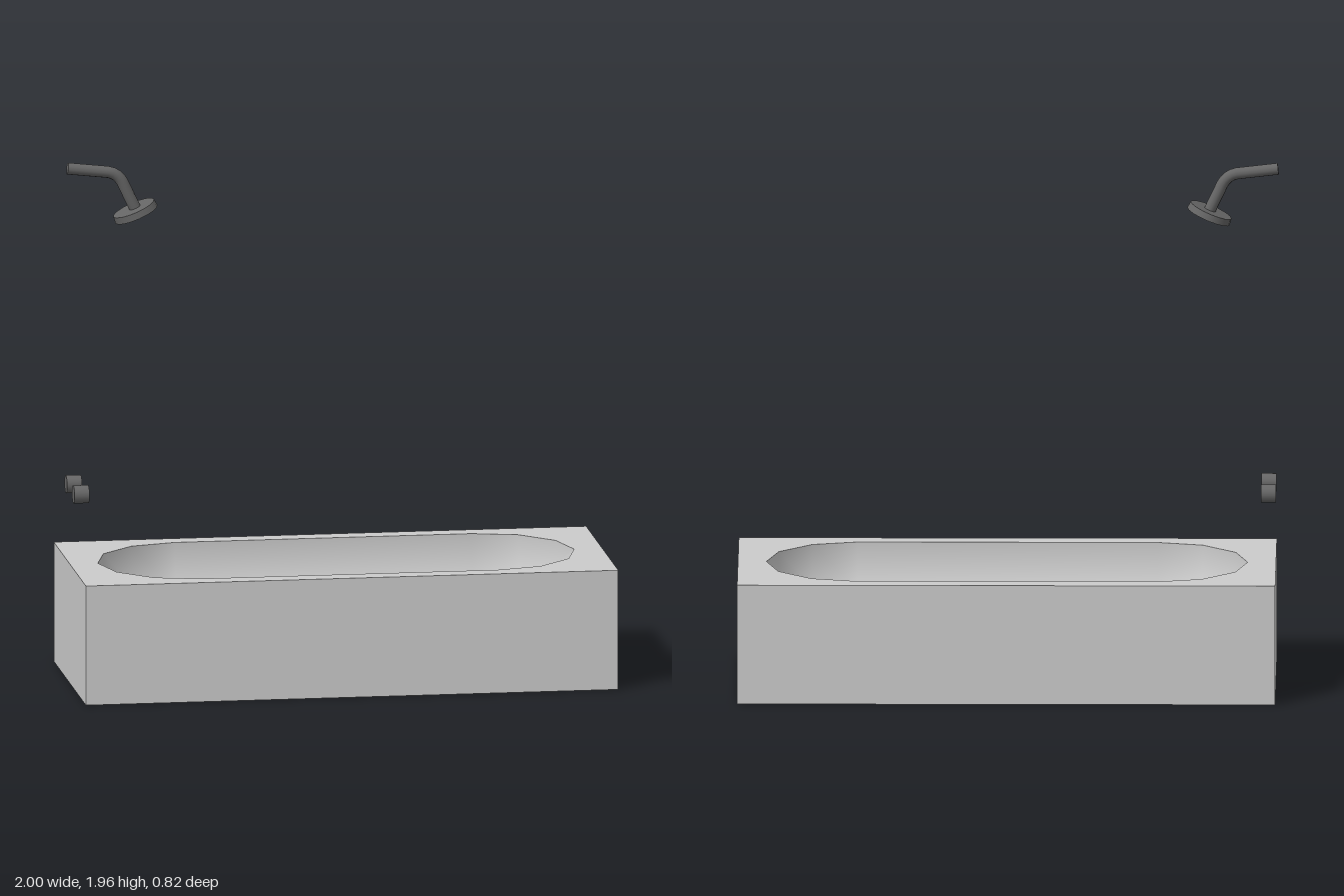
import * as THREE from 'three';

const white = new THREE.MeshStandardMaterial({ color: 0xcccccc });
const bowlMaterial = new THREE.MeshStandardMaterial({ color: 0xcccccc, side: THREE.DoubleSide });
const metal = new THREE.MeshStandardMaterial({ color: 0x666666 });

function addMesh(parent, name, geometry, material, x = 0, y = 0, z = 0) {
  const mesh = new THREE.Mesh(geometry, material);
  mesh.name = name;
  mesh.position.set(x, y, z);
  parent.add(mesh);
  return mesh;
}

function createTub() {
  const tub = new THREE.Group();
  tub.name = 'bathtub';
  const length = 1.99, height = 0.45, width = 0.816;
  const radius = 0.335, half = 0.555;

  // Half-capsule profile, running from one tip to the other
  const profile = [];
  for (const end of [-1, 1]) {
    for (let i = 0; i <= 3; i++) {
      const a = (end < 0 ? 3 - i : i) * Math.PI / 6;
      profile.push(new THREE.Vector2(radius * Math.cos(a), end * (half + radius * Math.sin(a))));
    }
  }

  // Outer walls and floor: a box without its top face
  const shell = new THREE.BoxGeometry(length, height, width);
  const index = Array.from(shell.index.array);
  index.splice(12, 6);
  shell.setIndex(index);
  shell.clearGroups();
  addMesh(tub, 'outerWalls', shell, white, 0, height / 2, 0);

  // Flat rim with the basin opening
  const rim = new THREE.Shape([
    new THREE.Vector2(-length / 2, -width / 2), new THREE.Vector2(length / 2, -width / 2),
    new THREE.Vector2(length / 2, width / 2), new THREE.Vector2(-length / 2, width / 2),
  ]);
  const sideA = profile.map((p) => new THREE.Vector2(p.y, p.x));
  const sideB = profile.slice(1, -1).reverse().map((p) => new THREE.Vector2(p.y, -p.x));
  rim.holes.push(new THREE.Path([...sideA, ...sideB]));
  addMesh(tub, 'rim', new THREE.ShapeGeometry(rim).rotateX(-Math.PI / 2), white, 0, height, 0);

  // Rounded basin hanging below the rim
  const basin = new THREE.LatheGeometry(profile, 6, 0, Math.PI).rotateZ(-Math.PI / 2);
  addMesh(tub, 'basin', basin, bowlMaterial, 0, height, 0);

  tub.position.x = 0.005;
  return tub;
}

function createShower() {
  const shower = new THREE.Group();
  shower.name = 'shower';
  const v = (x, y) => new THREE.Vector3(x, y, 0);

  // Bent pipe: straight, elbow, straight
  const start = v(-0.998, 1.942), bendIn = v(-0.85, 1.925), bendOut = v(-0.785, 1.87), end = v(-0.74, 1.775);
  const path = new THREE.CurvePath();
  path.add(new THREE.LineCurve3(start, bendIn));
  path.add(new THREE.QuadraticBezierCurve3(bendIn, v(-0.805, 1.92), bendOut));
  path.add(new THREE.LineCurve3(bendOut, end));
  addMesh(shower, 'pipe', new THREE.TubeGeometry(path, 20, 0.022, 12), metal);
  const cap = addMesh(shower, 'pipeEnd', new THREE.CircleGeometry(0.022, 12), metal, start.x, start.y, 0);
  cap.lookAt(start.clone().multiplyScalar(2).sub(bendIn));

  // Tilted disc head
  const head = addMesh(shower, 'showerHead', new THREE.CylinderGeometry(0.082, 0.085, 0.026, 16), metal, -0.745, 1.774, 0);
  head.rotation.z = THREE.MathUtils.degToRad(23);

  shower.position.z = -0.008;
  return shower;
}

export function createModel() {
  const model = new THREE.Group();
  model.name = 'bathtubWithShower';
  model.add(createTub(), createShower());

  // Pair of tap knobs
  for (const side of [-1, 1]) {
    const knob = new THREE.CylinderGeometry(0.034, 0.034, 0.056, 16).rotateZ(Math.PI / 2);
    addMesh(model, side > 0 ? 'frontTapKnob' : 'backTapKnob', knob, metal, -0.963, 0.732, side * 0.095);
  }
  return model;
}
